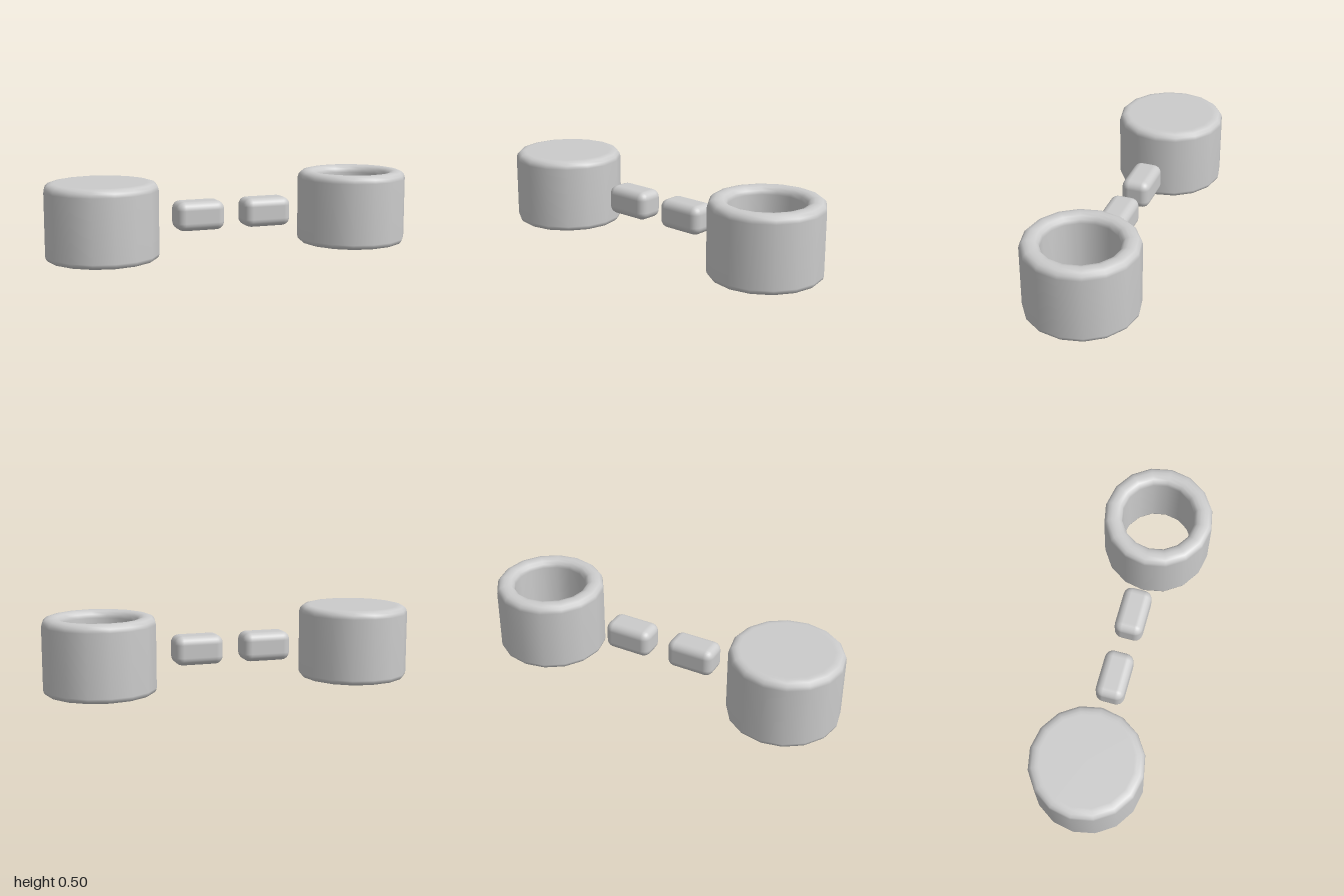
import * as THREE from 'three';
import { RoundedBoxGeometry } from 'three/addons/geometries/RoundedBoxGeometry.js';

const R = 0.372, INNER = 0.246, H = 0.5, SIDES = 16, OFFSET = 0.628;
const TOP = 0.05, BOTTOM = 0.036;

// Quarter-round corner points around (cx, cy), starting at angle a0 in degrees
function corner(cx, cy, r, a0) {
  return [0, 30, 60, 90].map((d) => {
    const a = THREE.MathUtils.degToRad(a0 + d);
    return new THREE.Vector2(cx + r * Math.cos(a), cy + r * Math.sin(a));
  });
}

export function createModel() {
  const group = new THREE.Group();
  const material = new THREE.MeshStandardMaterial({ color: 0xcccccc });

  function add(name, geometry, x, y, z) {
    const mesh = new THREE.Mesh(geometry, material);
    mesh.name = name;
    mesh.position.set(x, y, z);
    group.add(mesh);
    return mesh;
  }

  // Outer wall with rounded bottom and top edges, running upwards
  const outer = [
    ...corner(R - BOTTOM, BOTTOM, BOTTOM, -90),
    ...corner(R - TOP, H - TOP, TOP, 0),
  ];

  // Solid drum, with extra cap points to keep its ends flat
  const solid = [
    new THREE.Vector2(0, 0), new THREE.Vector2(R - BOTTOM - 0.02, 0),
    ...outer,
    new THREE.Vector2(R - TOP - 0.02, H), new THREE.Vector2(0, H),
  ];
  add('solidDrum', new THREE.LatheGeometry(solid, SIDES), -OFFSET, 0, OFFSET);

  // Open ring, whose inner wall runs back down to the start
  const ring = [
    ...outer,
    ...corner(INNER + TOP, H - TOP, TOP, 90),
    ...corner(INNER + BOTTOM, BOTTOM, BOTTOM, 180),
    outer[0].clone(),
  ];
  add('openRing', new THREE.LatheGeometry(ring, SIDES), OFFSET, 0, -OFFSET);

  // Two rounded links on the diagonal between the drums
  for (const s of [-1, 1]) {
    const link = add(s < 0 ? 'drumLink' : 'ringLink',
      new RoundedBoxGeometry(0.33, 0.195, 0.195, 3, 0.055), s * 0.166, 0.25, -s * 0.166);
    link.rotation.y = Math.PI / 4;
  }

  return group;
}
